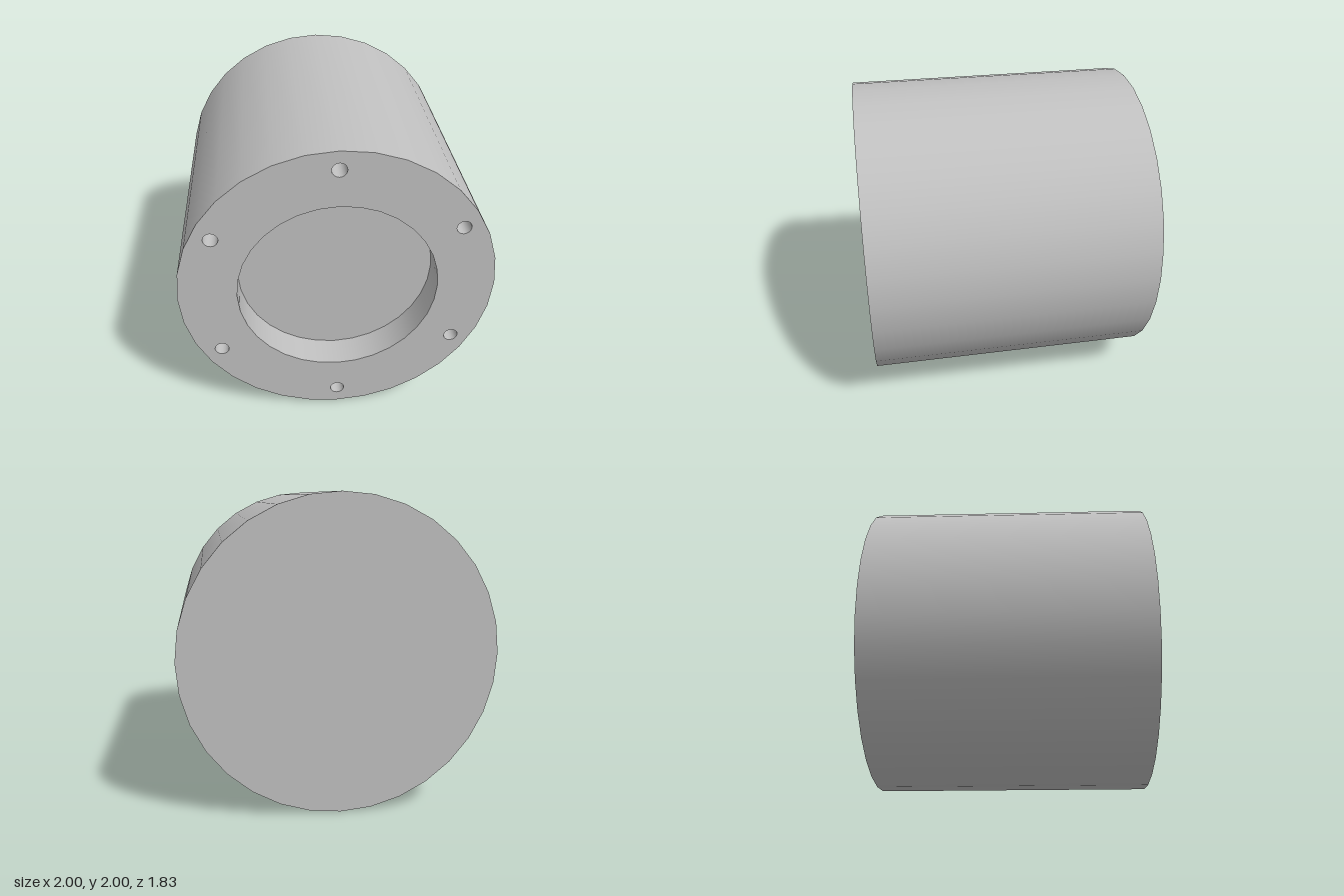
import * as THREE from 'three';

const R = 1, HALF = 0.915;            // outer radius, half length
const RECESS_R = 0.632, RECESS_Z = HALF - 0.21;
const HOLE_R = 0.046, HOLE_Z = HALF - 0.2, BOLT_CIRCLE = 0.877;

// Regular polygon outline, matching the vertices of the walls
function ring(r, n, cx = 0, cy = 0) {
  return Array.from({ length: n }, (_, i) => {
    const a = (i / n) * Math.PI * 2;
    return new THREE.Vector2(cx + r * Math.cos(a), cy + r * Math.sin(a));
  });
}

// Open tube along z: faces outward when z0 < z1, inward when z0 > z1
function wall(r, z0, z1, n) {
  const profile = [new THREE.Vector2(r, z0), new THREE.Vector2(r, z1)];
  return new THREE.LatheGeometry(profile, n).rotateX(Math.PI / 2);
}

export function createModel() {
  const model = new THREE.Group();
  const grey = new THREE.MeshStandardMaterial({ color: 0xc0c0c0 });
  grey.name = 'plain grey';

  const add = (name, geometry, x = 0, y = 0, z = 0) => {
    const mesh = new THREE.Mesh(geometry, grey);
    mesh.name = name;
    mesh.position.set(x, y + R, z);
    model.add(mesh);
  };

  // Outer barrel and closed back
  add('barrel', wall(R, -HALF, HALF, 32));
  add('backFace', new THREE.CircleGeometry(R, 32).rotateY(Math.PI), 0, 0, -HALF);

  // Front flange pierced by the recess and six bolt holes
  const flange = new THREE.Shape(ring(R, 32));
  flange.holes.push(new THREE.Path(ring(RECESS_R, 32)));
  for (let i = 0; i < 6; i++) {
    const a = Math.PI / 2 + (i * Math.PI) / 3;
    const x = BOLT_CIRCLE * Math.cos(a), y = BOLT_CIRCLE * Math.sin(a);
    flange.holes.push(new THREE.Path(ring(HOLE_R, 16, x, y)));
    add('boltHoleWall', wall(HOLE_R, HALF, HOLE_Z, 16), x, y);
    add('boltHoleFloor', new THREE.CircleGeometry(HOLE_R, 16), x, y, HOLE_Z);
  }
  add('frontFlange', new THREE.ShapeGeometry(flange), 0, 0, HALF);

  // Shallow round recess
  add('recessWall', wall(RECESS_R, HALF, RECESS_Z, 32));
  add('recessFloor', new THREE.CircleGeometry(RECESS_R, 32), 0, 0, RECESS_Z);

  return model;
}
